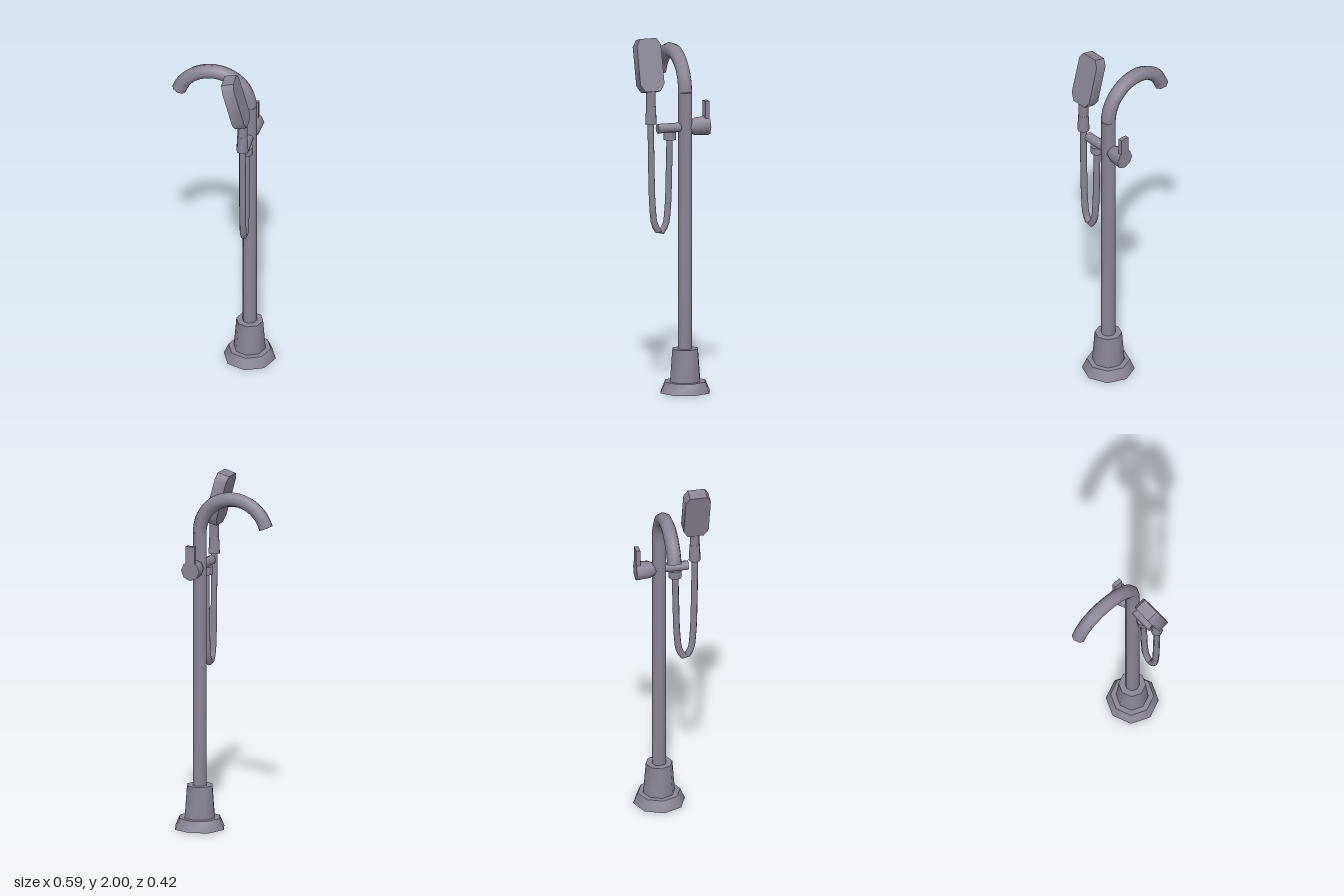
import * as THREE from 'three';
import { toCreasedNormals } from 'three/addons/utils/BufferGeometryUtils.js';

const SIDES = 8;
const PX = 0.145, PZ = -0.062; // pole axis

export function createModel() {
  const model = new THREE.Group();
  const metal = new THREE.MeshStandardMaterial({ color: 0x8b8595 });
  metal.name = 'brushed metal';

  function add(name, geometry, x = 0, y = 0, z = 0, parent = model) {
    const mesh = new THREE.Mesh(toCreasedNormals(geometry, 0.9), metal);
    mesh.name = name;
    mesh.position.set(x, y, z);
    parent.add(mesh);
    return mesh;
  }
  // upright tapered cylinder between two heights
  const post = (name, rTop, rBottom, y0, y1, z = PZ) =>
    add(name, new THREE.CylinderGeometry(rTop, rBottom, y1 - y0, SIDES), PX, (y0 + y1) / 2, z);

  // floor base and pole
  post('baseFlange', 0.12, 0.147, 0, 0.062);
  post('baseCollar', 0.076, 0.09, 0.062, 0.245);
  post('pole', 0.041, 0.041, 0.24, 1.69);

  // curved spout, closed at its tip
  const R = 0.205, end = THREE.MathUtils.degToRad(163);
  const arc = [];
  for (let i = 0; i <= 14; i++) {
    const a = end * i / 14;
    arc.push(new THREE.Vector3(PX - R + R * Math.cos(a), 1.69 + R * Math.sin(a), PZ));
  }
  const spoutCurve = new THREE.CatmullRomCurve3(arc);
  add('spout', new THREE.TubeGeometry(spoutCurve, 20, 0.041, SIDES));
  const tip = add('spoutTip', new THREE.CircleGeometry(0.041, SIDES), ...arc[14].toArray());
  tip.quaternion.setFromUnitVectors(new THREE.Vector3(0, 0, 1), spoutCurve.getTangent(1));

  // valve body behind the pole, with lever
  const profile = [[0, -0.197], [0.055, -0.197], [0.05, -0.12], [0.028, -0.075], [0, -0.06]]
    .map(([r, y]) => new THREE.Vector2(r, y));
  add('valveBody', new THREE.LatheGeometry(profile, SIDES).rotateX(Math.PI / 2), PX, 1.495, 0);
  add('valveLever', new THREE.BoxGeometry(0.052, 0.135, 0.024), PX, 1.568, -0.186);

  // arm in front of the pole, with hose outlet
  add('holderArm', new THREE.CylinderGeometry(0.027, 0.027, 0.165, SIDES).rotateX(Math.PI / 2), PX, 1.495, 0.02);
  post('hoseOutlet', 0.038, 0.038, 1.43, 1.475, 0.029);

  // hanging hose
  const hosePoints = [[1.44, 0.03], [1.25, 0.034], [1.05, 0.041], [0.95, 0.055], [0.909, 0.085],
    [0.95, 0.117], [1.05, 0.131], [1.3, 0.139], [1.54, 0.142]]
    .map(([y, z]) => new THREE.Vector3(PX, y, z));
  add('hose', new THREE.TubeGeometry(new THREE.CatmullRomCurve3(hosePoints), 40, 0.019, SIDES));

  // hand shower handle
  post('handleGrip', 0.029, 0.034, 1.525, 1.625, 0.141);
  post('handleNeck', 0.028, 0.028, 1.62, 1.72, 0.141);

  // flat, tilted shower head with clipped corners
  const outline = [[-0.045, 0], [0.045, 0], [0.071, 0.04], [0.071, 0.26],
    [0.048, 0.297], [-0.048, 0.297], [-0.071, 0.26], [-0.071, 0.04]]
    .map(([x, y]) => new THREE.Vector2(x, y));
  const headGeometry = new THREE.ExtrudeGeometry(new THREE.Shape(outline), { depth: 0.07, bevelEnabled: false })
    .translate(0, 0, -0.035).rotateY(-Math.PI / 2);
  const head = add('showerHead', headGeometry, PX, 1.704, 0.14);
  head.rotation.z = THREE.MathUtils.degToRad(15);

  return model;
}
